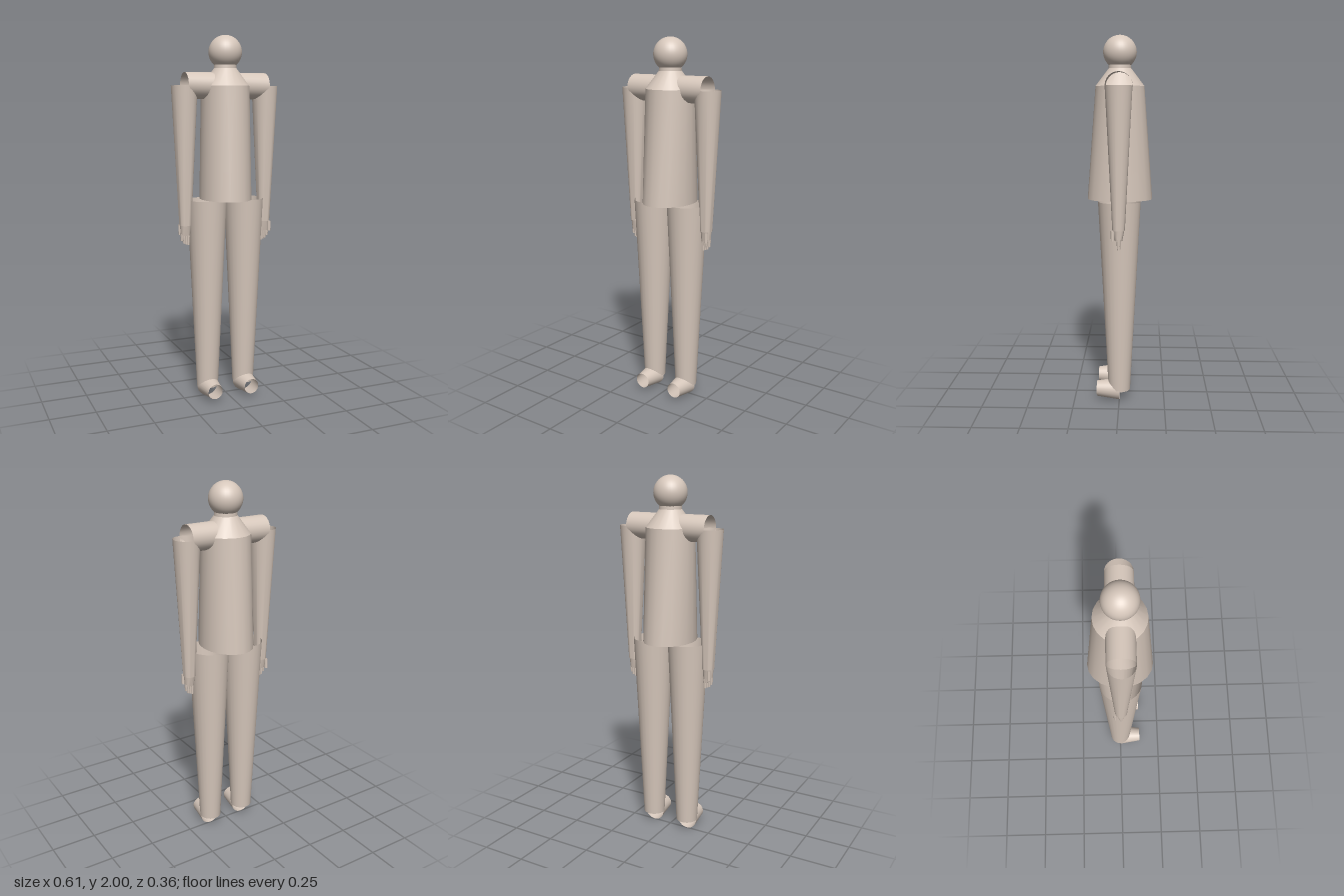
import * as THREE from 'three';
import { toCreasedNormals } from 'three/addons/utils/BufferGeometryUtils.js';

const skin = new THREE.MeshStandardMaterial({ color: 0xd6c7bb, side: THREE.DoubleSide });
skin.name = 'warm beige';

// Open tube along y with elliptical ends: bottom [y, rx, rz], top [y, rx, rz]
function tube(name, bottom, top, segments = 20) {
  const geometry = new THREE.CylinderGeometry(1, 1, 1, segments, 1, true);
  const p = geometry.attributes.position;
  for (let i = 0; i < p.count; i++) {
    const [y, rx, rz] = p.getY(i) > 0 ? top : bottom;
    p.setXYZ(i, p.getX(i) * rx, y, p.getZ(i) * rz);
  }
  const mesh = new THREE.Mesh(toCreasedNormals(geometry, 0.8), skin);
  mesh.name = name;
  return mesh;
}

// Arm with hand; side is +1 for the left and -1 for the right
function makeArm(side) {
  const arm = new THREE.Group();
  arm.name = side > 0 ? 'leftArm' : 'rightArm';

  const shoulder = tube('shoulder', [0, 0.071, 0.071], [0.233, 0.071, 0.071], 24);
  shoulder.rotation.z = -side * Math.PI / 2;
  shoulder.position.y = 1.732;

  const limb = new THREE.Group();
  limb.name = 'limb';
  limb.position.x = side * 0.234;
  limb.add(tube('sleeve', [0.985, 0.033, 0.033], [1.732, 0.071, 0.071], 24));
  limb.add(tube('palm', [0.93, 0.026, 0.02], [0.99, 0.03, 0.031], 16));

  // Four fingers side by side
  [0.875, 0.88, 0.885, 0.9].forEach((tip, i) => {
    const finger = tube('finger', [tip, 0.007, 0.008], [0.94, 0.01, 0.012], 10);
    finger.position.x = side * (-0.016 + i * 0.012);
    limb.add(finger);
  });

  // Thumb on the outer edge of the palm
  const thumb = tube('thumb', [0.93, 0.009, 0.009], [0.985, 0.01, 0.01], 10);
  thumb.position.set(side * 0.02, 0, side * 0.031);
  limb.add(thumb);

  arm.add(shoulder, limb);
  return arm;
}

// Leg with an open forward-pointing foot
function makeLeg(side) {
  const leg = new THREE.Group();
  leg.name = side > 0 ? 'leftLeg' : 'rightLeg';
  leg.position.x = side * 0.109;
  leg.add(tube('trouser', [0.061, 0.06, 0.06], [1.12, 0.108, 0.115], 24));

  const foot = tube('foot', [0, 0.061, 0.061], [0.125, 0.042, 0.042], 24);
  foot.rotation.x = Math.PI / 2;
  foot.position.y = 0.061;
  leg.add(foot);
  return leg;
}

export function createModel() {
  const model = new THREE.Group();
  model.name = 'figure';

  const head = new THREE.Mesh(new THREE.SphereGeometry(0.09, 32, 24), skin);
  head.name = 'head';
  head.position.y = 1.91;
  model.add(head);

  // Trunk from hem to neck
  model.add(
    tube('torso', [1.12, 0.138, 0.178], [1.732, 0.132, 0.132]),
    tube('collar', [1.732, 0.132, 0.132], [1.825, 0.061, 0.061]),
    tube('neck', [1.825, 0.061, 0.061], [1.87, 0.058, 0.058])
  );

  for (const side of [1, -1]) model.add(makeArm(side), makeLeg(side));
  return model;
}
